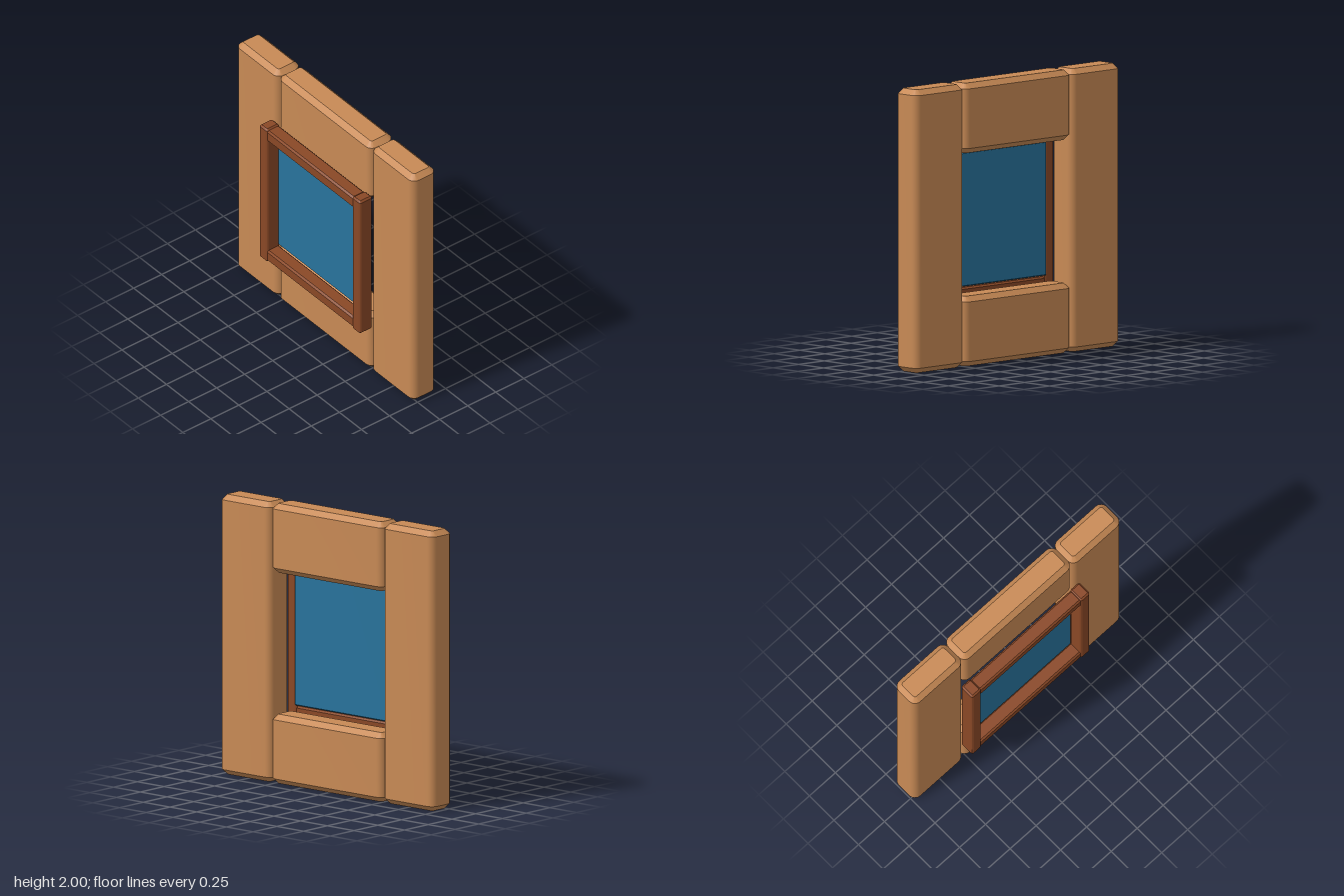
import * as THREE from 'three';
import { toCreasedNormals } from 'three/addons/utils/BufferGeometryUtils.js';

const wood = new THREE.MeshStandardMaterial({ color: 0xc88a55 });
const darkWood = new THREE.MeshStandardMaterial({ color: 0x8a4826 });
const glass = new THREE.MeshStandardMaterial({ color: 0x28739c });

// Upright bar: rounded long edges (radius r) and chamfered ends (size c)
function bar(name, material, [x0, x1], [y0, y1], [z0, z1], r, c) {
  const w = (x1 - x0) / 2, d = (z1 - z0) / 2;
  const s = new THREE.Shape();
  s.absarc(w - r, d - r, r, 0, Math.PI / 2);
  s.absarc(r - w, d - r, r, Math.PI / 2, Math.PI);
  s.absarc(r - w, r - d, r, Math.PI, Math.PI * 1.5);
  s.absarc(w - r, r - d, r, Math.PI * 1.5, Math.PI * 2);
  const geo = new THREE.ExtrudeGeometry(s, {
    depth: y1 - y0 - 2 * c, curveSegments: 4,
    bevelSegments: 1, bevelSize: c, bevelThickness: c, bevelOffset: -c,
  });
  geo.rotateX(-Math.PI / 2);
  const mesh = new THREE.Mesh(toCreasedNormals(geo, 0.6), material);
  mesh.name = name;
  mesh.position.set((x0 + x1) / 2, y0 + c, (z0 + z1) / 2);
  return mesh;
}

export function createModel() {
  const model = new THREE.Group();
  model.name = 'windowWall';

  // Wall planks: two full height sides, short ones above and below the opening
  const wallZ = [-0.172, 0.042];
  const plank = (name, x, y) => model.add(bar(name, wood, x, y, wallZ, 0.055, 0.037));
  plank('leftPlank', [0.523, 1], [0, 2]);
  plank('rightPlank', [-1, -0.523], [0, 2]);
  plank('upperPlank', [-0.523, 0.523], [1.505, 2]);
  plank('lowerPlank', [-0.523, 0.523], [0, 0.495]);

  // Window frame on the front of the wall
  const frame = new THREE.Group();
  frame.name = 'windowFrame';
  const post = (name, x) => frame.add(bar(name, darkWood, x, [0.417, 1.59], [0.057, 0.172], 0.018, 0.013));
  const rail = (name, y) => frame.add(bar(name, darkWood, [-0.49, 0.49], y, [0.06, 0.168], 0.018, 0.013));
  post('leftPost', [0.478, 0.568]);
  post('rightPost', [-0.568, -0.478]);
  rail('topRail', [1.487, 1.582]);
  rail('bottomRail', [0.427, 0.52]);
  model.add(frame);

  // Pane behind the frame
  model.add(bar('pane', glass, [-0.478, 0.478], [0.53, 1.477], [0.038, 0.072], 0.008, 0.007));
  return model;
}
